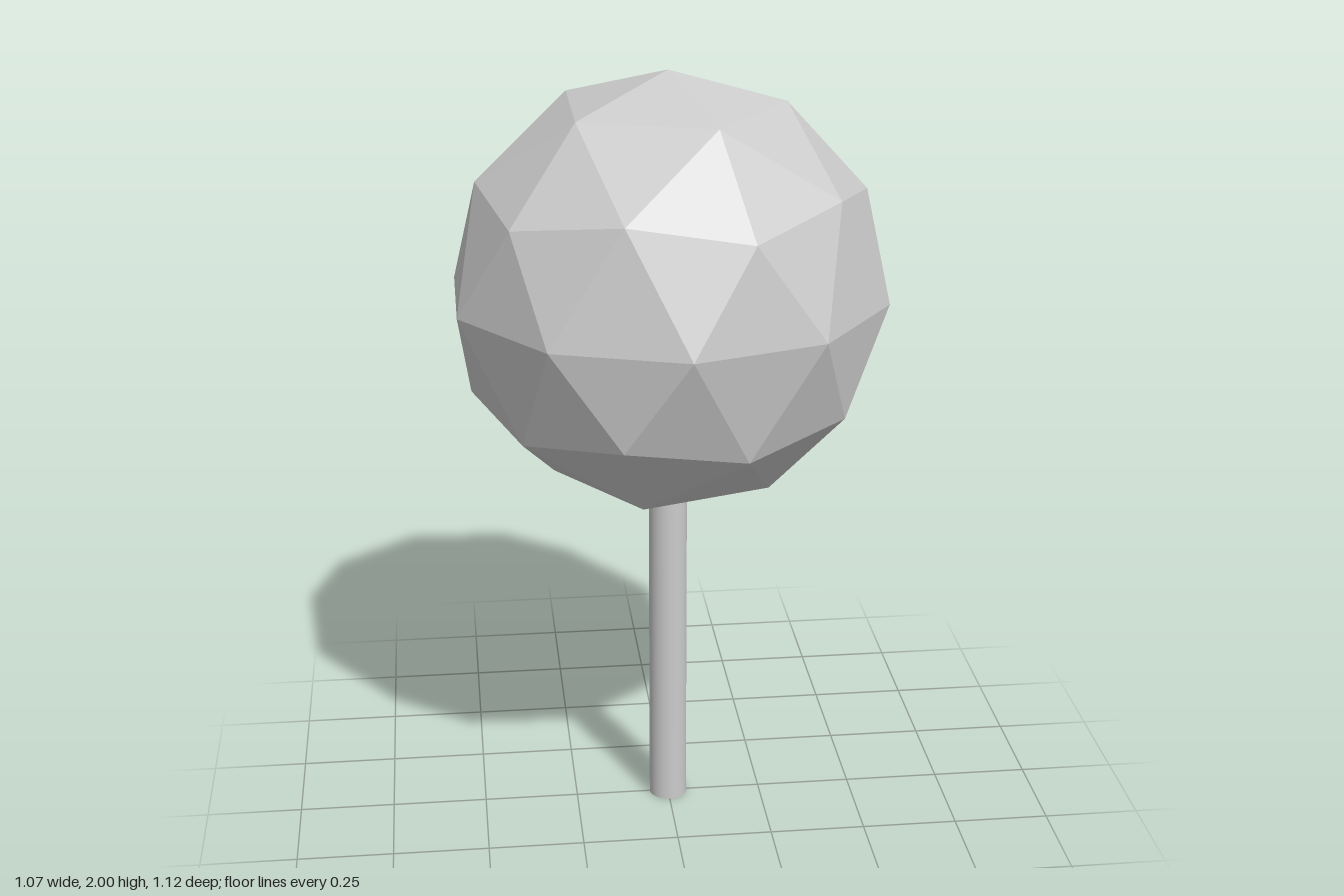
import * as THREE from 'three';

export function createModel() {
  const model = new THREE.Group();
  model.name = 'lollipopTree';

  // Faceted ball: 80-face icosphere with one corner pointing straight up
  const radius = 0.56;
  const ballGeometry = new THREE.IcosahedronGeometry(radius, 1);
  ballGeometry.rotateZ(-Math.atan(2 / (1 + Math.sqrt(5))));
  const ball = new THREE.Mesh(
    ballGeometry,
    new THREE.MeshStandardMaterial({ color: 0xcccccc, flatShading: true })
  );
  ball.name = 'ball';
  ball.position.y = 2 - radius;
  model.add(ball);

  // Smooth round stick, its top sunk slightly into the ball
  const stickHeight = 0.93;
  const stick = new THREE.Mesh(
    new THREE.CylinderGeometry(0.05, 0.05, stickHeight, 32),
    new THREE.MeshStandardMaterial({ color: 0xcccccc })
  );
  stick.name = 'stick';
  stick.position.y = stickHeight / 2;
  model.add(stick);

  return model;
}
